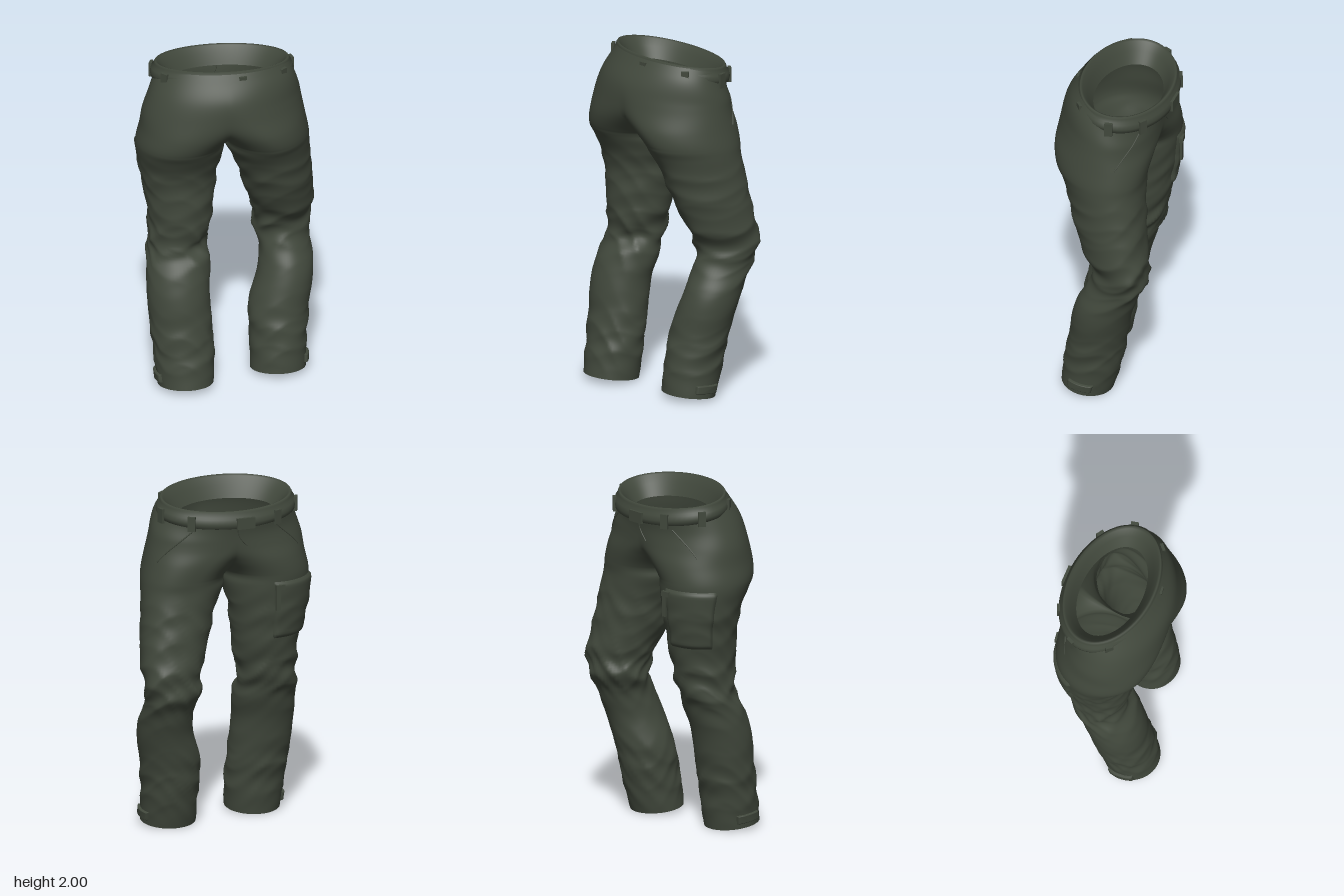
import * as THREE from 'three';
import { mergeGeometries, mergeVertices } from 'three/addons/utils/BufferGeometryUtils.js';

const MID = -0.012, CROTCH = 1.501, SEG = 56;
const rad = THREE.MathUtils.degToRad;
const step = THREE.MathUtils.smoothstep;
const bump = (y, c, w) => Math.exp(-(((y - c) / w) ** 2));

// Leg sections: height, outer x, inner x, back z, front z (x measured toward the leg's own side).
// Above the crotch the inner value passes the midline, so the section opens into half a hip.
const RIGHT = [
  [0.025, 0.42, 0.10, 0.345, 0.03], [0.2, 0.44, 0.09, 0.32, 0], [0.4, 0.46, 0.10, 0.285, -0.04],
  [0.6, 0.47, 0.11, 0.255, -0.08], [0.75, 0.465, 0.095, 0.20, -0.13], [0.85, 0.455, 0.115, 0.15, -0.17],
  [0.95, 0.45, 0.09, 0.165, -0.19], [1.1, 0.46, 0.07, 0.17, -0.22], [1.3, 0.497, 0.045, 0.18, -0.25],
  [1.38, 0.51, 0.026, 0.21, -0.26], [1.45, 0.52, 0.013, 0.245, -0.265], [1.5, 0.52, 0.012, 0.275, -0.27],
  [1.6, 0.50, -0.11, 0.305, -0.28], [1.7, 0.485, -0.32, 0.31, -0.28], [1.8, 0.45, -0.426, 0.295, -0.285],
  [1.9, 0.41, -0.386, 0.235, -0.30], [1.95, 0.388, -0.364, 0.205, -0.31],
];
const LEFT = [
  [0.025, 0.45, 0.13, 0.21, -0.09], [0.2, 0.46, 0.13, 0.195, -0.145], [0.4, 0.48, 0.13, 0.155, -0.185],
  [0.6, 0.51, 0.19, 0.11, -0.23], [0.75, 0.505, 0.20, 0.045, -0.285], [0.85, 0.508, 0.17, 0.0, -0.325],
  [0.95, 0.525, 0.17, 0.04, -0.328], [1.1, 0.52, 0.12, 0.11, -0.305], [1.3, 0.50, 0.06, 0.18, -0.28],
  [1.38, 0.492, 0.028, 0.205, -0.27], [1.45, 0.485, -0.008, 0.24, -0.265], [1.5, 0.48, -0.012, 0.27, -0.27],
  [1.6, 0.46, -0.13, 0.305, -0.28], [1.7, 0.44, -0.34, 0.31, -0.28], [1.8, 0.42, -0.444, 0.295, -0.285],
  [1.9, 0.385, -0.409, 0.235, -0.30], [1.95, 0.364, -0.388, 0.205, -0.31],
];

// twist pushes the outer thigh toward the front; n sets how square the sections are
function makeLeg(rows, side, phase, n, twist) {
  const curve = new THREE.CubicInterpolant(
    Float32Array.from(rows, r => r[0]), Float32Array.from(rows.flatMap(r => r.slice(1))), 4);
  const mid = MID * side;
  const section = y => {
    let [outer, inner, back, front] = curve.evaluate(y);
    if (y < CROTCH) inner = Math.max(inner, mid);
    const cx = (outer + inner) / 2, rx = (outer - inner) / 2;
    let limit = Math.PI;
    if (y > CROTCH) {
      const t = (mid - cx) / rx;
      limit = Math.acos(Math.max(-1, Math.sign(t) * Math.abs(t) ** (n / 2)));
    }
    return { cx, rx, cz: (back + front) / 2, rz: (back - front) / 2, limit };
  };
  // Cloth folds: strong at the knee, lighter at the hem and thigh
  const folds = (a, y) => {
    const k = bump(y, 0.88, 0.17) + 0.6 * bump(y, 0.27, 0.17) + 0.5 * bump(y, 1.25, 0.14);
    const wave = Math.sin(33 * y + 3 * Math.sin(a) + 1.6 * Math.cos(a) + phase);
    const ridge = 0.5 - Math.abs(Math.sin(19 * y - 2.4 * Math.sin(a + phase) + 1.5 * Math.cos(2 * a)));
    const crease = 0.5 - Math.abs(Math.sin(27 * y + 3 * Math.sin(a - phase) + 2 * Math.sin(2 * a)));
    return k * (0.005 * wave + 0.013 * ridge + 0.008 * crease);
  };
  // Point on the cloth: angle 0 is the outer side, positive angles go to the back
  const point = (a, y, off = 0) => {
    const s = section(y), c = Math.cos(a), q = Math.sin(a);
    const d = folds(a, y) + off;
    const turn = twist * Math.max(0, c) ** 1.5 * step(y, 0.55, 0.95) * (1 - step(y, 1.75, 1.9));
    const x = s.cx + s.rx * Math.sign(c) * Math.abs(c) ** (2 / n) + d * c;
    const z = s.cz + s.rz * Math.sign(q) * Math.abs(q) ** (2 / n) + d * q - turn;
    const slope = 0.15 * step(y, 1.6, 1.9);
    const hem = 0.12 * (1 - step(y, 0.02, 0.3));
    return new THREE.Vector3(side * x, y + slope * (z + 0.06) + hem * (z - s.cz), z);
  };
  return { side, section, point };
}

// Skin over a grid of points
function loft(rows, flip) {
  const w = rows[0].length, index = [];
  for (let i = 0; i < rows.length - 1; i++) for (let j = 0; j < w - 1; j++) {
    const a = i * w + j, b = a + 1, c = a + w, d = c + 1;
    index.push(...(flip ? [a, b, c, b, d, c] : [a, c, b, b, c, d]));
  }
  const g = new THREE.BufferGeometry().setFromPoints(rows.flat());
  g.setIndex(index);
  return g;
}
function smooth(geos) {
  const g = mergeVertices(mergeGeometries(geos), 1e-4);
  g.computeVertexNormals();
  return g;
}
const grid = (rows, cols, f) => Array.from({ length: rows + 1 }, (_, i) =>
  Array.from({ length: cols + 1 }, (_, j) => f(i / rows, j / cols)));

export function createModel() {
  const group = new THREE.Group();
  const cloth = new THREE.MeshStandardMaterial({ color: 0x41483c, side: THREE.DoubleSide });
  cloth.name = 'dark olive cloth';
  const add = (name, geo) => {
    const m = new THREE.Mesh(geo, cloth);
    m.name = name;
    group.add(m);
    return m;
  };
  const right = makeLeg(RIGHT, -1, 0.6, 2.03, 0), left = makeLeg(LEFT, 1, 2.3, 2, 0.055);

  // Trouser body: two half shells joined along the midline
  const shells = [right, left].map(leg => grid(154, SEG, (v, u) => {
    const y = 0.025 + 1.925 * v;
    return leg.point((u * 2 - 1) * leg.section(y).limit, y);
  }));
  shells[0].forEach((row, i) => {
    if (0.025 + 0.0125 * i < 1.495) return;
    for (const j of [0, SEG]) {
      const p = row[j].clone().add(shells[1][i][j]).multiplyScalar(0.5);
      p.x = MID;
      row[j].copy(p);
      shells[1][i][j].copy(p);
    }
  });
  add('trouserBody', smooth([loft(shells[0], true), loft(shells[1], false)]));

  // Raised patch that follows the cloth, with rounded-off edges
  const patch = (name, leg, a0, a1, y0, y1, height) => add(name, smooth([loft(grid(24, 24, (v, u) => {
    const edge = Math.min(u, 1 - u, v, 1 - v);
    const off = -0.004 + (height + 0.004) * step(edge, -0.01, 0.06);
    return leg.point(rad(a0 + (a1 - a0) * u), y0 + (y1 - y0) * v, off);
  }), leg.side < 0)]));
  patch('cargoPocket', right, -96, -18, 1.12, 1.47, 0.017);
  patch('leftCuffTab', left, -28, 28, 0.055, 0.105, 0.016);
  patch('rightCuffTab', right, -25, 30, 0.055, 0.105, 0.016);

  // Hems turned up inside each leg
  for (const [name, leg] of [['rightHem', right], ['leftHem', left]]) {
    add(name, smooth([loft(grid(5, SEG, (v, u) =>
      leg.point((u * 2 - 1) * Math.PI, 0.025 + 0.11 * v, -0.022 * Math.min(1, v * 5))), leg.side > 0)]));
  }

  // Stitched lines: fly and slanted hand pockets
  const seam = (name, leg, a0, y0, a1, y1) => {
    const pts = Array.from({ length: 21 }, (_, i) =>
      leg.point(rad(a0 + (a1 - a0) * i / 20), y0 + (y1 - y0) * i / 20));
    add(name, new THREE.TubeGeometry(new THREE.CatmullRomCurve3(pts), 40, 0.004, 6));
  };
  seam('fly', right, -89, 1.72, -89, 1.88);
  seam('rightHandPocket', right, -54, 1.83, -38, 1.66);
  seam('leftHandPocket', left, -52, 1.83, -24, 1.62);

  // Waistband: bulging belt, rolled rim and lining sloping inward
  const ring = (a, rx, rz, y) => {
    const x = -0.018 + rx * Math.cos(a), z = -0.058 + rz * Math.sin(a);
    return new THREE.Vector3(x, y + 0.15 * (z + 0.06) - 0.012 * x, z);
  };
  const profile = [[0.388, 0.258, 1.862], [0.406, 0.272, 1.87], [0.412, 0.276, 1.895], [0.406, 0.271, 1.922],
    [0.392, 0.259, 1.932], [0.39, 0.257, 1.952], [0.383, 0.249, 1.964], [0.368, 0.236, 1.958],
    [0.335, 0.21, 1.915], [0.3, 0.187, 1.865], [0.29, 0.18, 1.85]];
  add('waistband', smooth([loft(profile.map(p => Array.from({ length: 73 }, (_, j) =>
    ring(j / 72 * Math.PI * 2, ...p))), false)]));

  // Belt loops and the front closing tab
  const onBand = (name, deg, w, h, t, y) => {
    const a = rad(deg), m = add(name, new THREE.BoxGeometry(w, h, t));
    m.position.copy(ring(a, 0.412, 0.276, y));
    m.rotation.y = Math.atan2(Math.cos(a) / 0.412, Math.sin(a) / 0.276);
  };
  for (const deg of [36, 78, 148, 196, 235, 312, 350]) onBand('beltLoop', deg, 0.045, 0.085, 0.018, 1.893);
  onBand('closingTab', 266, 0.11, 0.065, 0.016, 1.897);

  // Zip pull hanging from the cargo pocket
  const pull = new THREE.Group();
  pull.name = 'zipPull';
  for (const [w, h, d, x, y] of [[0.026, 0.13, 0.014, 0, -0.05], [0.055, 0.03, 0.022, -0.012, 0.02]]) {
    const m = new THREE.Mesh(new THREE.BoxGeometry(w, h, d), cloth);
    m.name = 'zipPullPart';
    m.position.set(x, y, 0);
    pull.add(m);
  }
  pull.position.copy(right.point(rad(-92), 1.42, 0.024));
  pull.rotation.y = rad(10);
  group.add(pull);

  return group;
}
